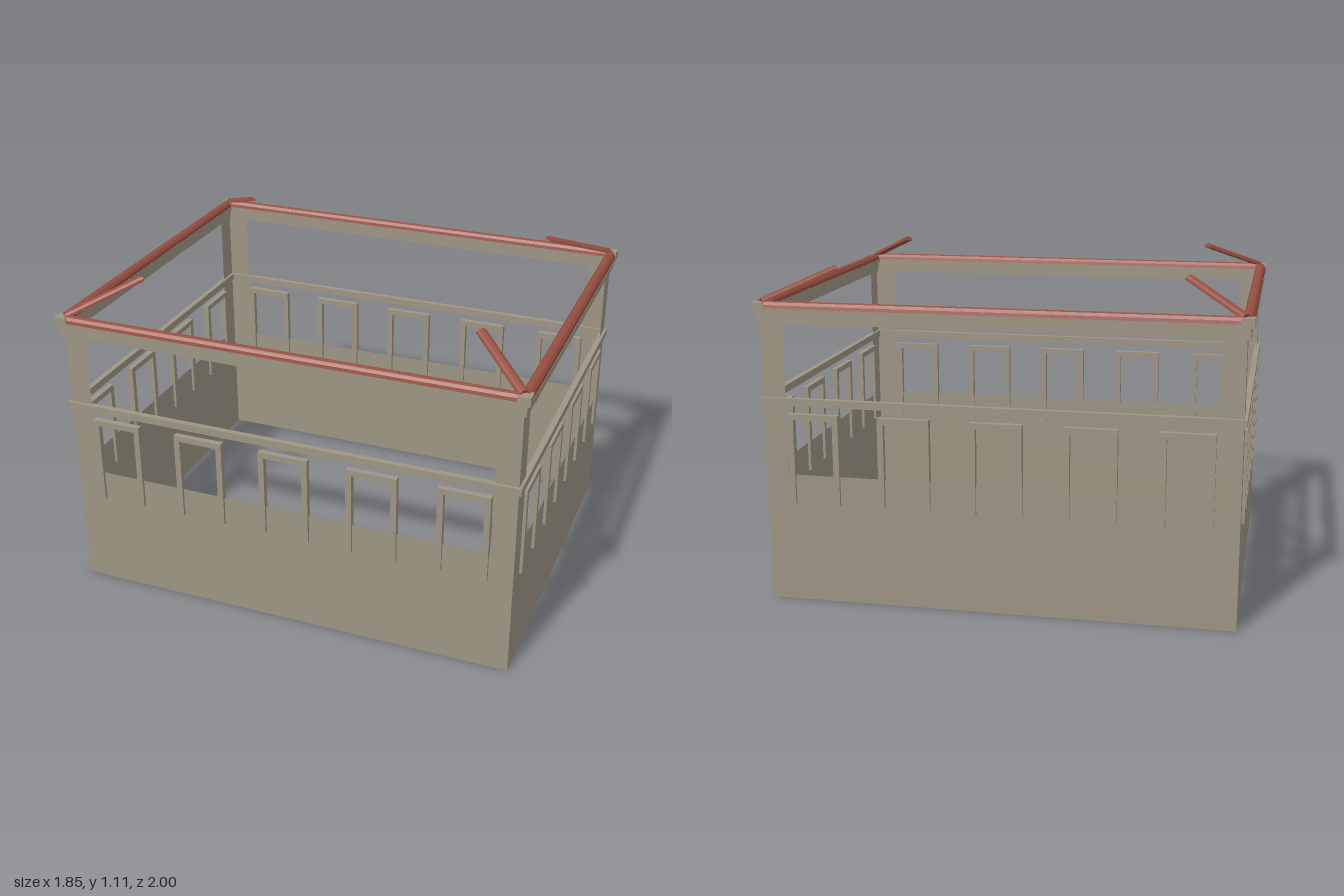
import * as THREE from 'three';

const W = 1.24, D = 1.562;           // plan size along the wall lines
const SILL = 0.437, HEAD = 0.947, TOP = 0.985, POST = 0.077;

export function createModel() {
  const stone = new THREE.MeshStandardMaterial({ color: 0x9d9584, side: THREE.DoubleSide });
  stone.name = 'stone grey';
  const tile = new THREE.MeshStandardMaterial({ color: 0x964f42, flatShading: true });
  tile.name = 'clay red';

  const model = new THREE.Group();
  model.name = 'pavilion';
  const frame = new THREE.Group();
  frame.name = 'turnedPlan';
  frame.rotation.y = 0.4506;
  model.add(frame);

  const add = (parent, name, geo, mat) => {
    const m = new THREE.Mesh(geo, mat);
    m.name = name;
    parent.add(m);
    return m;
  };
  const box = (parent, name, w, y0, y1, d, x = 0, z = 0) => {
    const m = add(parent, name, new THREE.BoxGeometry(w, y1 - y0, d), stone);
    m.position.set(x, (y0 + y1) / 2, z);
    return m;
  };

  // Half-round ridge tile running along +z from the origin
  const ridge = (r, h, length) => {
    const s = new THREE.Shape();
    for (let i = 0; i <= 6; i++) {
      const a = Math.PI * i / 6;
      if (i) s.lineTo(r * Math.cos(a), h * Math.sin(a));
      else s.moveTo(r, 0);
    }
    return new THREE.ExtrudeGeometry(s, { depth: length, bevelEnabled: false });
  };

  // One side: thin wall with a wide opening, rails, window frames and eave
  const side = (name, length, count) => {
    const g = new THREE.Group();
    g.name = name;
    const h = length / 2;

    const wall = new THREE.Shape([
      [-h, 0], [h, 0], [h, TOP], [-h, TOP]].map(p => new THREE.Vector2(...p)));
    wall.holes.push(new THREE.Path([
      [-h + POST, SILL], [-h + POST, HEAD], [h - POST, HEAD], [h - POST, SILL],
    ].map(p => new THREE.Vector2(...p))));
    add(g, 'wall', new THREE.ShapeGeometry(wall), stone);

    box(g, 'middleRail', length + 0.02, 0.672, 0.697, 0.02);
    box(g, 'topBeam', length + 0.02, 0.945, TOP, 0.02);
    box(g, 'cornice', length + 0.04, 0.982, 0.994, 0.042);

    // Window frames: two legs reaching below the sill and a lintel
    for (let i = 0; i < count; i++) {
      const x = (i - (count - 1) / 2) * 0.306;
      for (const s of [-1, 1]) box(g, 'windowLeg', 0.02, 0.337, 0.627, 0.02, x + s * 0.0765);
      box(g, 'windowLintel', 0.173, 0.625, 0.645, 0.02, x);
    }

    const cap = add(g, 'eaveTile', ridge(0.02, 0.024, length - 0.02), tile);
    cap.rotation.y = Math.PI / 2;
    cap.position.set(-h + 0.01, 0.993, 0);
    frame.add(g);
    return g;
  };

  for (const s of [1, -1]) {
    const turn = s > 0 ? 0 : Math.PI;
    const short = side(s > 0 ? 'frontSide' : 'backSide', W, 4);
    short.position.z = s * D / 2;
    short.rotation.y = turn;
    const long = side(s > 0 ? 'leftSide' : 'rightSide', D, 5);
    long.position.x = s * W / 2;
    long.rotation.y = Math.PI / 2 + turn;
  }

  // Corner blocks and the short hip tiles rising inwards
  for (const sx of [-1, 1]) for (const sz of [-1, 1]) {
    box(frame, 'cornerBlock', 0.042, 0.984, 1.013, 0.042, sx * W / 2, sz * D / 2);
    const start = new THREE.Vector3(sx * (W / 2 - 0.008), 1.008, sz * (D / 2 - 0.008));
    const end = new THREE.Vector3(sx * (W / 2 - 0.196), 1.096, sz * (D / 2 - 0.196));
    const hip = add(frame, 'hipTile', ridge(0.018, 0.016, start.distanceTo(end)), tile);
    hip.position.copy(start);
    const dir = end.clone().sub(start);
    hip.rotation.order = 'YXZ';
    hip.rotation.y = Math.atan2(dir.x, dir.z);
    hip.rotation.x = -Math.atan2(dir.y, Math.hypot(dir.x, dir.z));
  }
  return model;
}
